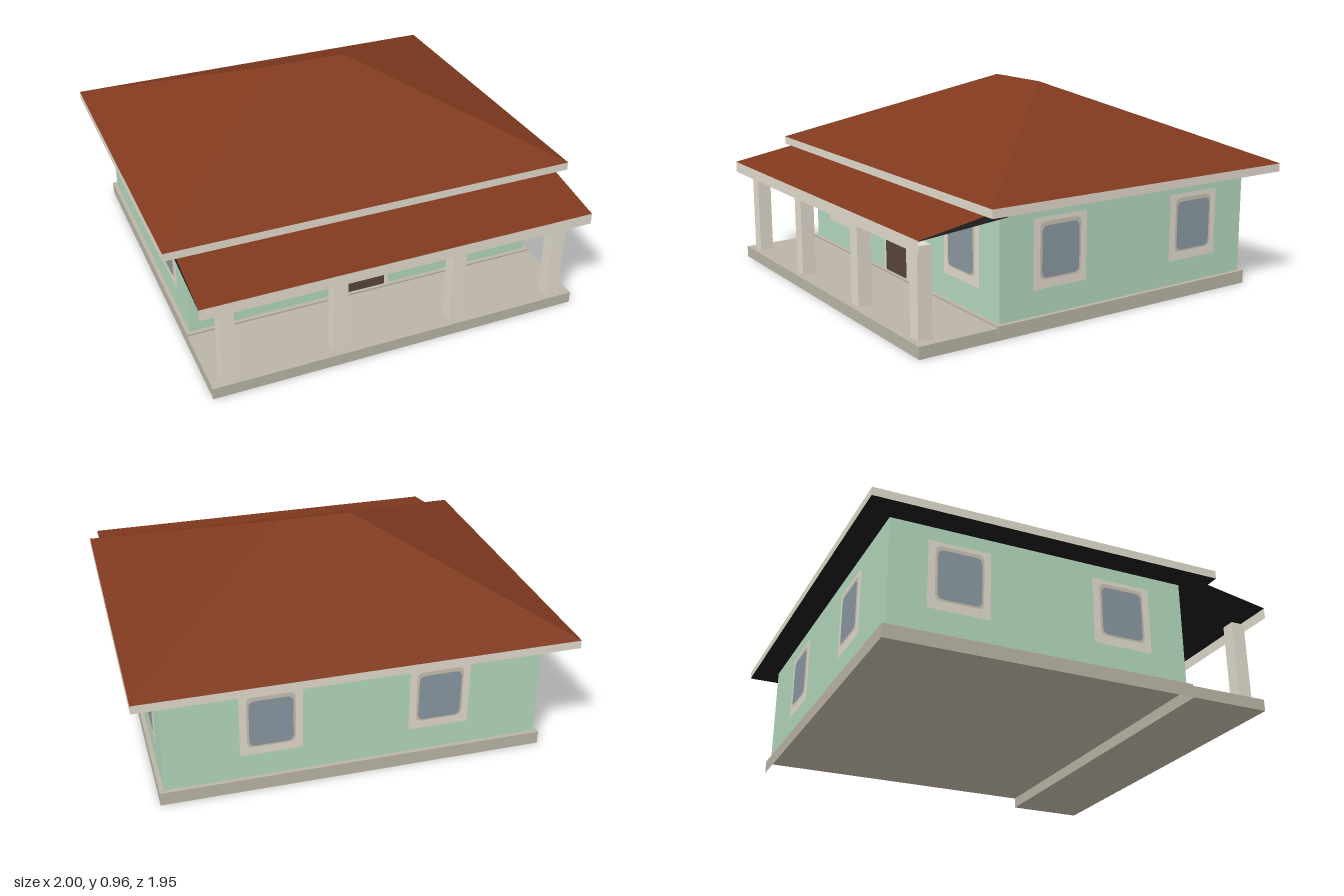
import * as THREE from 'three';

export function createModel() {
  const group = new THREE.Group();
  const mat = (name, color, side = THREE.FrontSide) => {
    const m = new THREE.MeshStandardMaterial({ color, side });
    m.name = name;
    return m;
  };
  const wall = mat('mint wall', 0xb3d7bd);
  const roof = mat('terracotta roof', 0x80391e);
  const trim = mat('cream trim', 0xe1dacc, THREE.DoubleSide);
  const frame = mat('weathered frame', 0xc8c1b1);
  const slab = mat('stone slab', 0xbab4a5);
  const glass = mat('window glass', 0x8a97a0);
  const wood = mat('door wood', 0x574538);
  const dark = mat('dark soffit', 0x1c1b1a, THREE.DoubleSide);

  const add = (name, geo, material, parent = group) => {
    const mesh = new THREE.Mesh(geo, material);
    mesh.name = name;
    parent.add(mesh);
    return mesh;
  };
  // Box given by its limits on each axis
  const box = (name, [x0, x1], [y0, y1], [z0, z1], material) => {
    const mesh = add(name, new THREE.BoxGeometry(x1 - x0, y1 - y0, z1 - z0), material);
    mesh.position.set((x0 + x1) / 2, (y0 + y1) / 2, (z0 + z1) / 2);
  };
  // Flat faces from corner lists, each fanned into triangles
  const faces = (points, polys) => {
    const pos = [];
    for (const f of polys)
      for (let i = 1; i < f.length - 1; i++)
        pos.push(...points[f[0]], ...points[f[i]], ...points[f[i + 1]]);
    const geo = new THREE.BufferGeometry();
    geo.setAttribute('position', new THREE.Float32BufferAttribute(pos, 3));
    geo.computeVertexNormals();
    return geo;
  };
  // Level rectangle of corners, front left round to back left
  const ring = (x, y, z0, z1) => [[-x, y, z1], [x, y, z1], [x, y, z0], [-x, y, z0]];
  // Sheet across the porch between a front edge and a back edge
  const sheet = (y0, z0, y1, z1) => faces(
    [[-0.94, y0, z0], [0.94, y0, z0], [0.94, y1, z1], [-0.94, y1, z1]], [[0, 1, 2, 3]]);
  // Flat upright panel with rounded corners, centred on x, set off the wall
  const panel = (w, y0, y1, r, offset) => {
    const s = new THREE.Shape(), a = w / 2;
    s.moveTo(-a + r, y0);
    s.lineTo(a - r, y0);
    s.quadraticCurveTo(a, y0, a, y0 + r);
    s.lineTo(a, y1 - r);
    s.quadraticCurveTo(a, y1, a - r, y1);
    s.lineTo(-a + r, y1);
    s.quadraticCurveTo(-a, y1, -a, y1 - r);
    s.lineTo(-a, y0 + r);
    s.quadraticCurveTo(-a, y0, -a + r, y0);
    return new THREE.ShapeGeometry(s, 5).translate(0, 0, offset);
  };

  // House slab: a skirt and top, hollow below with a raised underside
  add('houseSlab', faces(
    [...ring(0.895, 0, -0.875, 0.57), ...ring(0.895, 0.063, -0.875, 0.57),
      ...ring(0.895, 0.053, -0.875, 0.57)],
    [[0, 1, 5, 4], [1, 2, 6, 5], [2, 3, 7, 6], [3, 0, 4, 7], [4, 5, 6, 7], [11, 10, 9, 8]]), slab);

  // Porch slab and house body
  box('porchSlab', [-0.895, 0.895], [0, 0.055], [0.571, 0.952], slab);
  box('walls', [-0.875, 0.875], [0.06, 0.565], [-0.855, 0.55], wall);

  // Eaves: cream fascia on the sides, dark soffit below
  box('eaves', [-1, 1], [0.561, 0.6], [-0.977, 0.67],
    [trim, trim, roof, dark, trim, trim]);

  // Hipped roof with a short ridge
  add('hipRoof', faces(
    [...ring(1, 0.601, -0.977, 0.67), [-0.18, 0.965, -0.155], [0.18, 0.965, -0.155]],
    [[0, 1, 5, 4], [1, 2, 5], [2, 3, 4, 5], [3, 0, 4]]), roof);

  // Porch roof sheet, dark underside, ceiling and front fascia
  add('porchRoof', sheet(0.505, 0.975, 0.572, 0.59), roof);
  add('porchRoofUnderside', sheet(0.504, 0.974, 0.571, 0.59), dark);
  add('porchCeiling', sheet(0.502, 0.974, 0.54, 0.55), dark);
  add('porchFascia', sheet(0.452, 0.975, 0.505, 0.975), trim);

  // Porch posts
  for (const x of [-0.81, -0.29, 0.29, 0.81])
    box('porchPost', [x - 0.033, x + 0.033], [0.055, 0.452], [0.858, 0.925], trim);

  // Windows: surround, inner frame and glass as stacked panels
  const addWindow = (x, z, angle) => {
    const w = new THREE.Group();
    w.name = 'window';
    add('windowSurround', panel(0.285, 0.18, 0.496, 0.002, 0.002), trim, w);
    add('windowFrame', panel(0.22, 0.22, 0.476, 0.03, 0.004), frame, w);
    add('windowGlass', panel(0.2, 0.228, 0.458, 0.03, 0.006), glass, w);
    w.position.set(x, 0, z);
    w.rotation.y = angle;
    group.add(w);
  };
  for (const s of [-1, 1]) {
    addWindow(s * 0.58, 0.55, 0);
    addWindow(s * 0.39, -0.855, Math.PI);
    for (const z of [0.235, -0.54]) addWindow(s * 0.875, z, s * Math.PI / 2);
  }

  // Front door
  const door = new THREE.Group();
  door.name = 'door';
  add('doorSurround', panel(0.24, 0.063, 0.438, 0.002, 0.002), trim, door);
  add('doorLeaf', panel(0.196, 0.063, 0.414, 0.008, 0.004), wood, door);
  door.position.z = 0.55;
  group.add(door);

  return group;
}
